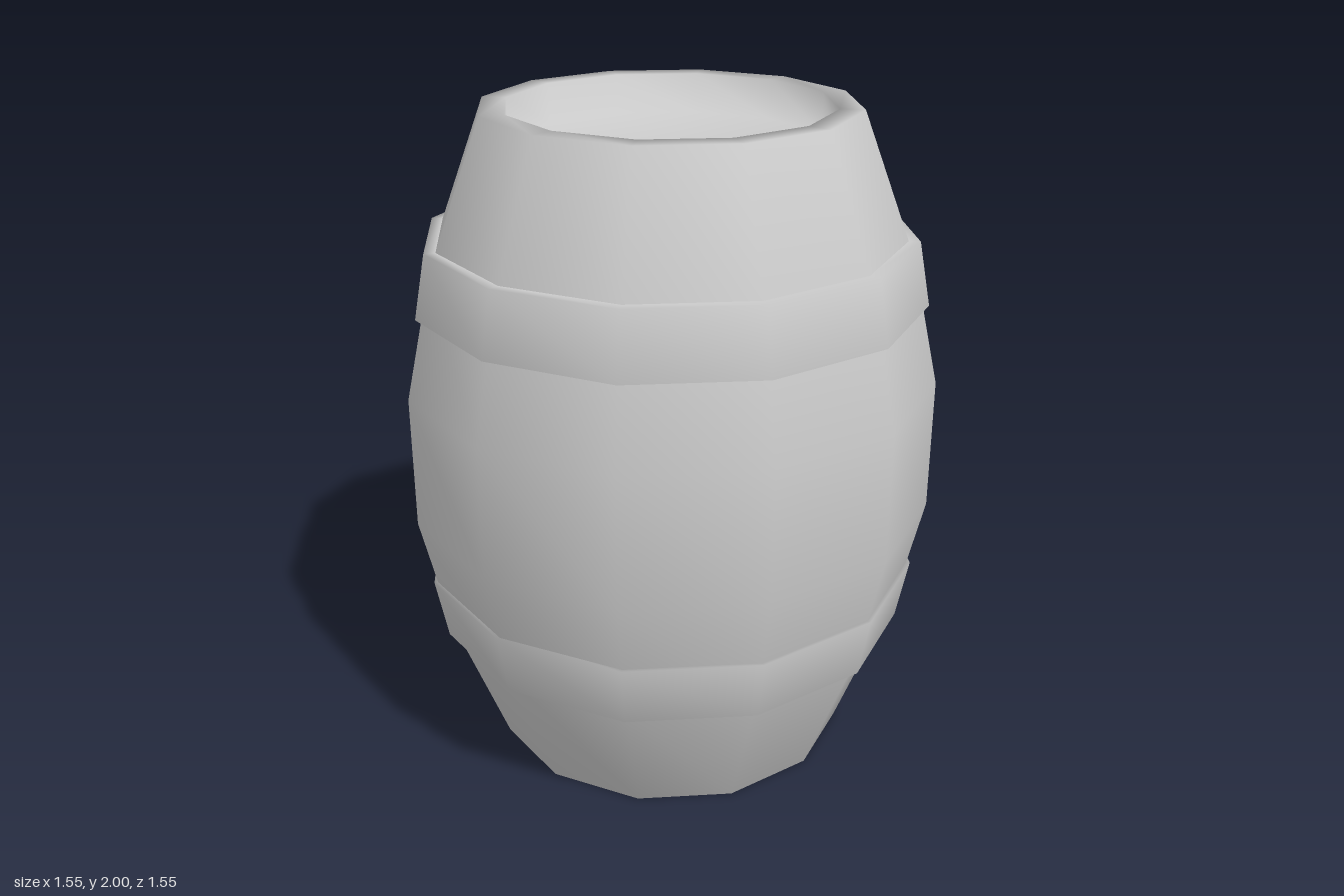
import * as THREE from 'three';

const SIDES = 12;
const TO_CORNER = 1 / Math.cos(Math.PI / SIDES); // flat-to-flat radius -> corner radius

// Revolve [radius, y] points into a smooth 12-sided ring with flats facing the axes
function turned(name, points, material) {
  const profile = points.map(([r, y]) => new THREE.Vector2(r * TO_CORNER, y));
  const mesh = new THREE.Mesh(
    new THREE.LatheGeometry(profile, SIDES, Math.PI / SIDES), material);
  mesh.name = name;
  return mesh;
}

export function createModel() {
  const group = new THREE.Group();
  group.name = 'barrel';
  const material = new THREE.MeshStandardMaterial({ color: 0xcccccc });

  // Body: recessed lid, rim and bulging staves, mirrored about mid-height
  const lower = [[0, 0.12], [0.465, 0.12], [0.465, 0], [0.535, 0], [0.694, 0.43], [0.775, 0.8]];
  const upper = lower.map(([r, y]) => [r, 2 - y]).reverse();
  group.add(turned('body', [...lower, ...upper], material));

  // Hoops: closed bands that widen toward the middle of the barrel
  const band = [[0.67, 0.4], [0.705, 0.4], [0.74, 0.59], [0.71, 0.59], [0.67, 0.4]];
  group.add(turned('lowerHoop', band, material));
  group.add(turned('upperHoop', band.map(([r, y]) => [r, 2.03 - y]).reverse(), material));

  return group;
}
